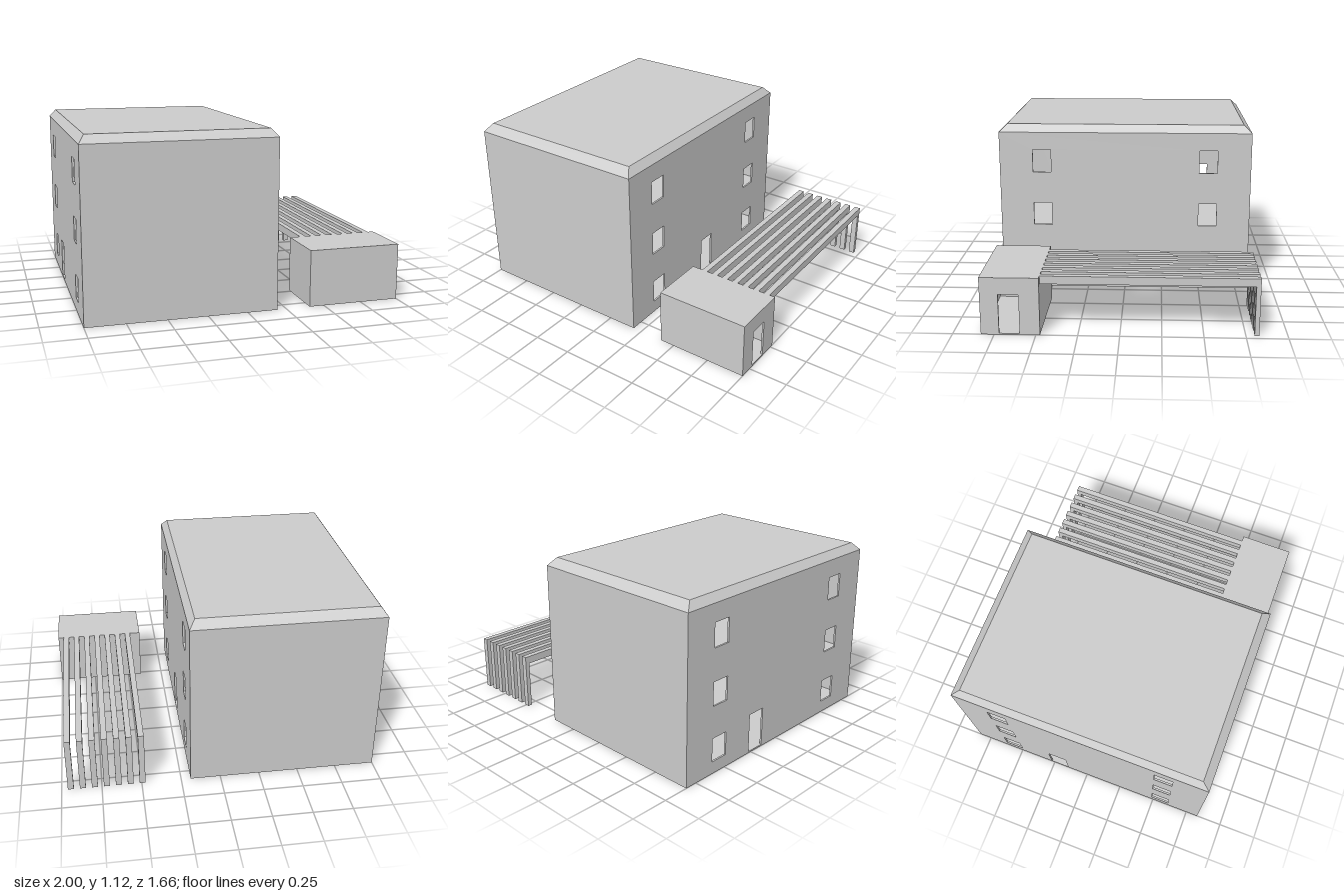
import * as THREE from 'three';

const T = 0.012; // wall thickness
const material = new THREE.MeshStandardMaterial({ color: 0xcccccc, flatShading: true });

function add(group, name, geometry) {
  const mesh = new THREE.Mesh(geometry, material);
  mesh.name = name;
  group.add(mesh);
  return mesh;
}

// Box given by its minimum and maximum corners
function block(group, name, [x0, y0, z0], [x1, y1, z1]) {
  const mesh = add(group, name, new THREE.BoxGeometry(x1 - x0, y1 - y0, z1 - z0));
  mesh.position.set((x0 + x1) / 2, (y0 + y1) / 2, (z0 + z1) / 2);
  return mesh;
}

function trace(path, z0, z1, y0, y1) {
  path.moveTo(z0, y0);
  path.lineTo(z1, y0);
  path.lineTo(z1, y1);
  path.lineTo(z0, y1);
  path.closePath();
  return path;
}

// Wall in the z-y plane with rectangular openings [z0, z1, y0, y1]; xMax is its +x face
function sideWall(group, name, xMax, z0, z1, height, openings) {
  const shape = trace(new THREE.Shape(), z0, z1, 0, height);
  for (const o of openings) shape.holes.push(trace(new THREE.Path(), ...o));
  const geometry = new THREE.ExtrudeGeometry(shape, { depth: T, bevelEnabled: false });
  geometry.rotateY(-Math.PI / 2);
  geometry.translate(xMax, 0, 0);
  add(group, name, geometry);
}

// Hollow shell: pierced side walls, plain front and back walls, ground slab
function shell(group, x0, x1, z0, z1, height, leftOpenings, rightOpenings) {
  sideWall(group, 'plusXWall', x1, z0, z1, height, leftOpenings);
  sideWall(group, 'minusXWall', x0 + T, z0, z1, height, rightOpenings);
  block(group, 'frontWall', [x0 + T, 0, z1 - T], [x1 - T, height, z1]);
  block(group, 'backWall', [x0 + T, 0, z0], [x1 - T, height, z0 + T]);
  block(group, 'groundSlab', [x0 + T, 0, z0 + T], [x1 - T, 0.008, z1 - T]);
}

function createHouse() {
  const house = new THREE.Group();
  house.name = 'house';
  const x0 = -1, x1 = 0.19, z = 0.83, height = 1.07;

  // Three storeys of windows, two per side
  const windows = [];
  for (let storey = 0; storey < 3; storey++) {
    const sill = 0.08 + storey * 0.361;
    for (const centre of [-0.55, 0.55]) {
      windows.push([centre - 0.06, centre + 0.06, sill, sill + 0.153]);
    }
  }
  const plusXDoor = [-0.07, 0.055, 0.01, 0.262];
  const minusXDoor = [-0.27, -0.145, 0.01, 0.262];
  shell(house, x0, x1, -z, z, height, [...windows, plusXDoor], [...windows, minusXDoor]);
  block(house, 'upperFloor', [x0 + T, 0.35, -z + T], [x1 - T, 0.36, z - T]);

  // Low roof whose top face is drawn in on all sides
  const roof = block(house, 'roof', [x0, height, -z], [x1, 1.12, z]);
  const p = roof.geometry.attributes.position;
  for (let i = 0; i < p.count; i++) {
    if (p.getY(i) < 0) continue;
    p.setX(i, p.getX(i) - Math.sign(p.getX(i)) * 0.038);
    p.setZ(i, p.getZ(i) - Math.sign(p.getZ(i)) * 0.052);
  }
  roof.geometry.computeVertexNormals();
  return house;
}

function createAnnex() {
  const annex = new THREE.Group();
  annex.name = 'annex';
  const x0 = 0.405, x1 = 1, z0 = 0.475, z1 = 0.83, height = 0.35;
  shell(annex, x0, x1, z0, z1, height, [[0.597, 0.72, 0.008, 0.255]], []);
  block(annex, 'annexRoof', [x0, height, z0], [x1, 0.36, z1]);
  return annex;
}

// Seven parallel beams, each carried by a post at the back
function createPergola() {
  const pergola = new THREE.Group();
  pergola.name = 'pergola';
  for (let i = 0; i < 7; i++) {
    const x = 0.476 + i * 0.0748, w = 0.037;
    block(pergola, 'pergolaBeam', [x, 0.31, -0.83], [x + w, 0.36, 0.475]);
    block(pergola, 'pergolaPost', [x, 0, -0.83], [x + w, 0.31, -0.802]);
  }
  return pergola;
}

export function createModel() {
  const model = new THREE.Group();
  model.name = 'houseWithPergola';
  model.add(createHouse(), createAnnex(), createPergola());
  return model;
}
